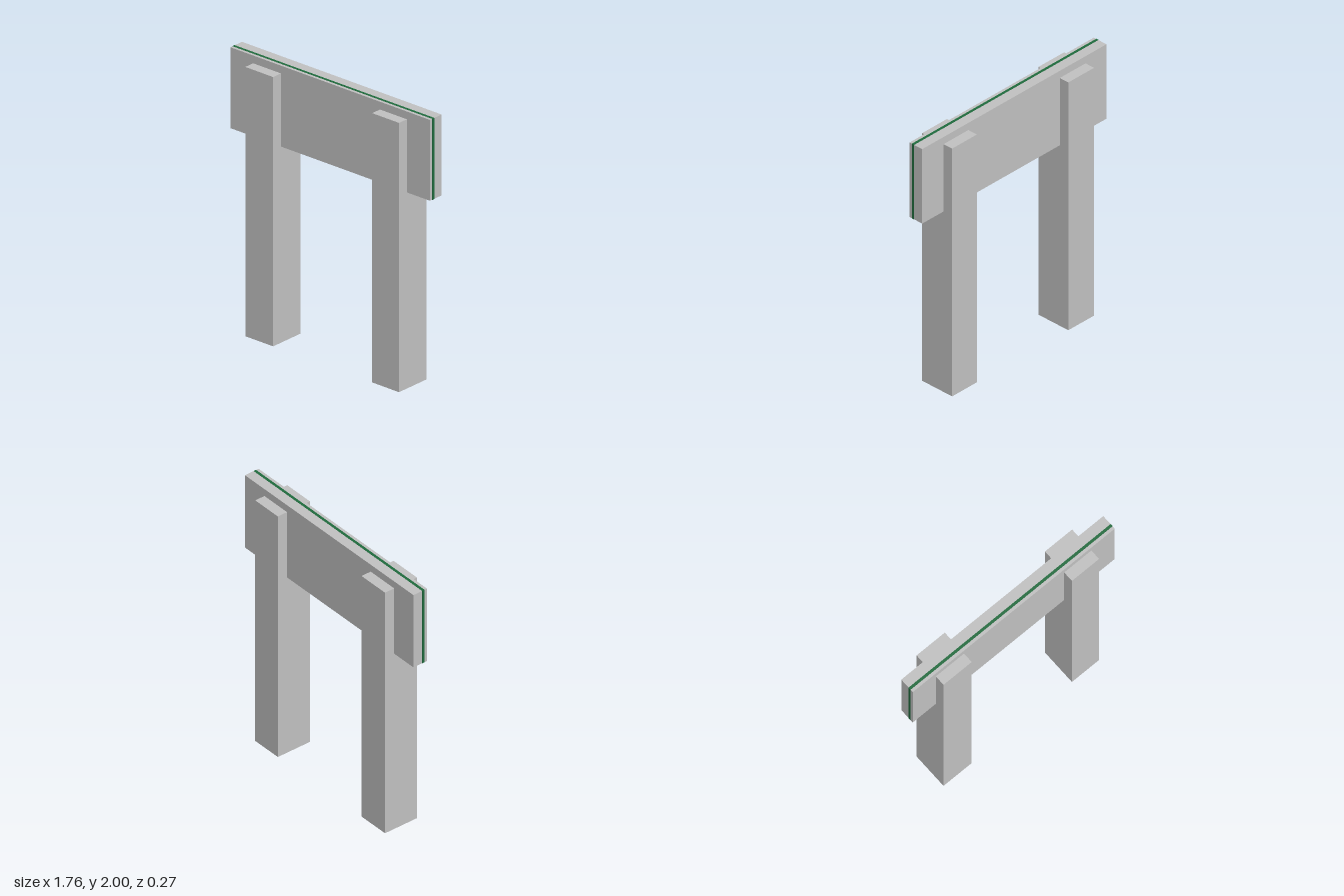
import * as THREE from 'three';

export function createModel() {
  const model = new THREE.Group();
  const grey = new THREE.MeshStandardMaterial({ color: 0xc0c0c0 });
  grey.name = 'light grey';
  const green = new THREE.MeshStandardMaterial({ color: 0x1f6b3d });
  green.name = 'dark green';

  // Adds a box given by its lower and upper corners
  const addBox = (name, material, [x0, y0, z0], [x1, y1, z1]) => {
    const mesh = new THREE.Mesh(new THREE.BoxGeometry(x1 - x0, y1 - y0, z1 - z0), material);
    mesh.name = name;
    mesh.position.set((x0 + x1) / 2, (y0 + y1) / 2, (z0 + z1) / 2);
    model.add(mesh);
  };

  // Posts, which pass through the board
  addBox('rightPost', grey, [-0.677, 0, -0.136], [-0.432, 1.944, 0.136]);
  addBox('leftPost', grey, [0.438, 0, -0.136], [0.674, 1.944, 0.136]);

  // Board with a green core layer showing along its edges
  addBox('board', grey, [-0.877, 1.416, -0.058], [0.877, 2, 0.058]);
  addBox('boardCore', green, [-0.878, 1.415, 0.016], [0.878, 2.001, 0.036]);

  return model;
}
